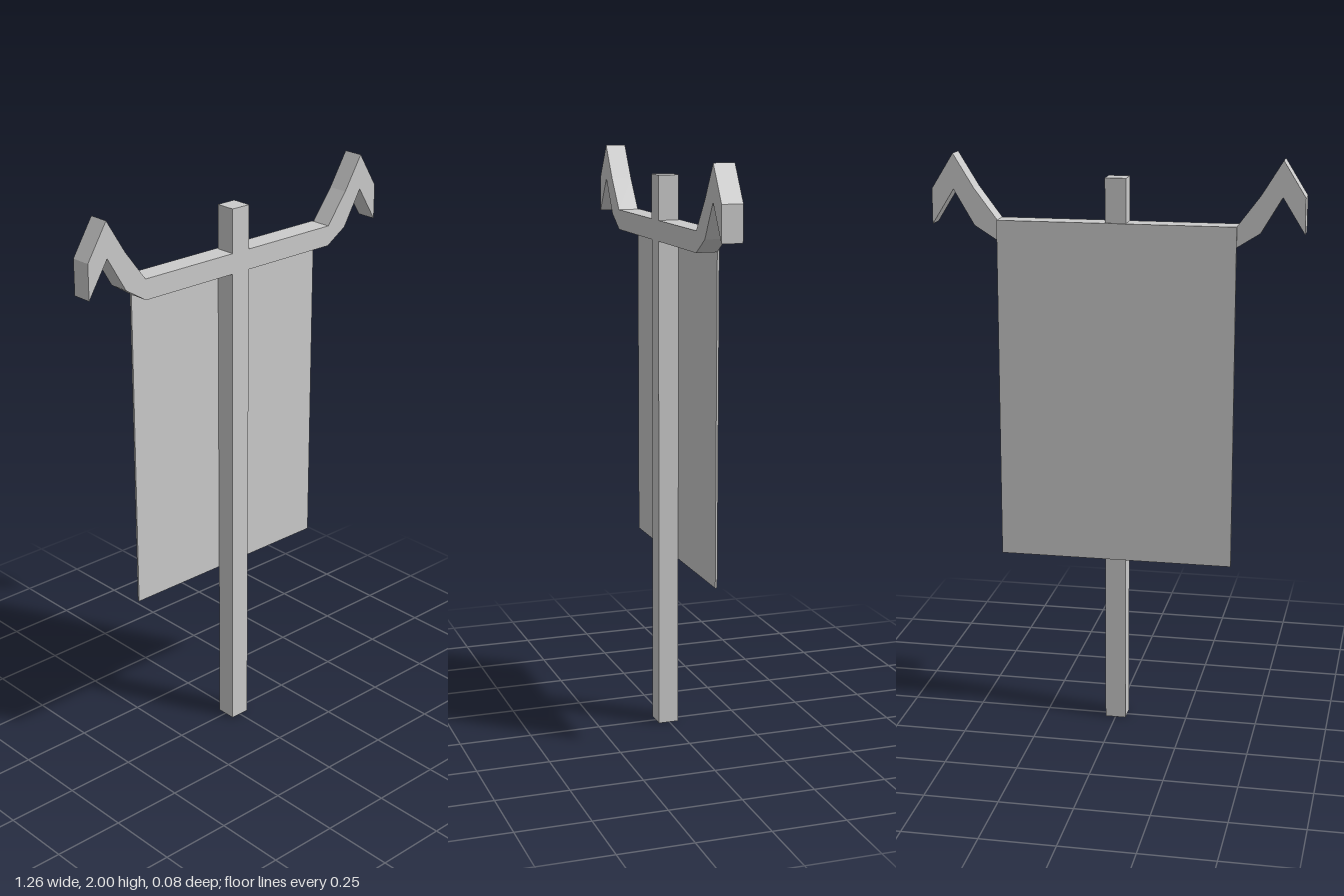
import * as THREE from 'three';

const BACK = -0.032, FRONT = 0.039, CLOTH_BACK = -0.039;

export function createModel() {
  const group = new THREE.Group();
  const material = new THREE.MeshStandardMaterial({ color: 0xcccccc, flatShading: true });

  const add = (name, geometry) => {
    const mesh = new THREE.Mesh(geometry, material);
    mesh.name = name;
    group.add(mesh);
  };
  const box = (name, x, y0, y1, z0, z1) => {
    const geometry = new THREE.BoxGeometry(2 * x, y1 - y0, z1 - z0);
    add(name, geometry.translate(0, (y0 + y1) / 2, (z0 + z1) / 2));
  };

  // Upright square pole
  box('pole', 0.036, 0, 1.93, BACK, FRONT);

  // Crossbar with bent, horn-like ends: right half outline, then mirrored
  const half = [
    [0.405, 1.71], [0.484, 1.76], [0.555, 1.88], [0.63, 1.76],
    [0.63, 1.88], [0.555, 2], [0.484, 1.885], [0.405, 1.78],
  ];
  const mirrored = half.map(([x, y]) => [-x, y]).reverse();
  const outline = [...half, ...mirrored].map(([x, y]) => new THREE.Vector2(x, y));
  const bar = new THREE.ExtrudeGeometry(new THREE.Shape(outline), {
    depth: FRONT - BACK, bevelEnabled: false,
  });
  add('crossbar', bar.translate(0, 0, BACK));

  // Thin cloth panel hung on the back of the bar
  box('banner', 0.406, 0.6, 1.78, CLOTH_BACK, BACK);

  return group;
}
